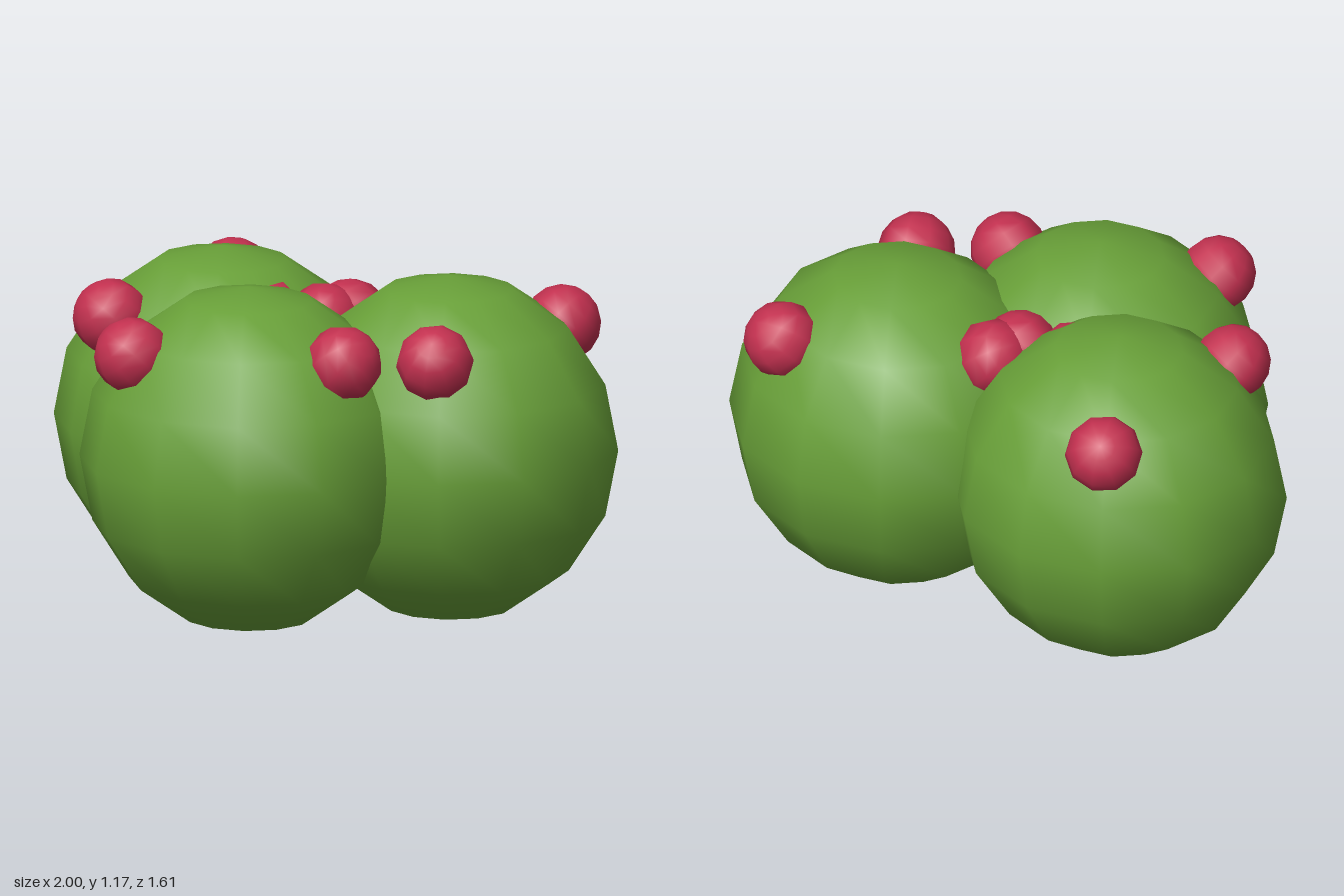
import * as THREE from 'three';

export function createModel() {
  const model = new THREE.Group();
  model.name = 'cactusCluster';

  const green = new THREE.MeshStandardMaterial({ color: 0x689f38 });
  green.name = 'cactus green';
  const red = new THREE.MeshStandardMaterial({ color: 0xc2304f });
  red.name = 'fruit red';

  const bodyGeometry = new THREE.SphereGeometry(1, 12, 8);
  const fruitGeometry = new THREE.SphereGeometry(0.13, 10, 8);
  const up = new THREE.Vector3(0, 1, 0);

  // Each lobe: centre x and z, and the turn of its ring of fruits in degrees
  const lobes = [
    { name: 'rightLobe', x: -0.43, z: -0.17, turn: 0 },
    { name: 'leftLobe', x: 0.43, z: -0.255, turn: 62 },
    { name: 'frontLobe', x: -0.03, z: 0.257, turn: 5 },
  ];

  for (const { name, x, z, turn } of lobes) {
    const lobe = new THREE.Group();
    lobe.name = name;
    lobe.position.set(x, 0.59, z);

    // Slightly stretched round body
    const body = new THREE.Mesh(bodyGeometry, green);
    body.name = 'body';
    body.scale.set(0.57, 0.587, 0.55);
    lobe.add(body);

    // Three fruits around the shoulder, leaning outwards
    for (let i = 0; i < 3; i++) {
      const a = THREE.MathUtils.degToRad(turn + i * 120);
      const fruit = new THREE.Mesh(fruitGeometry, red);
      fruit.name = 'fruit';
      fruit.position.set(0.41 * Math.cos(a), 0.384, 0.41 * Math.sin(a));
      fruit.quaternion.setFromUnitVectors(up, fruit.position.clone().normalize());
      lobe.add(fruit);
    }
    model.add(lobe);
  }
  return model;
}
